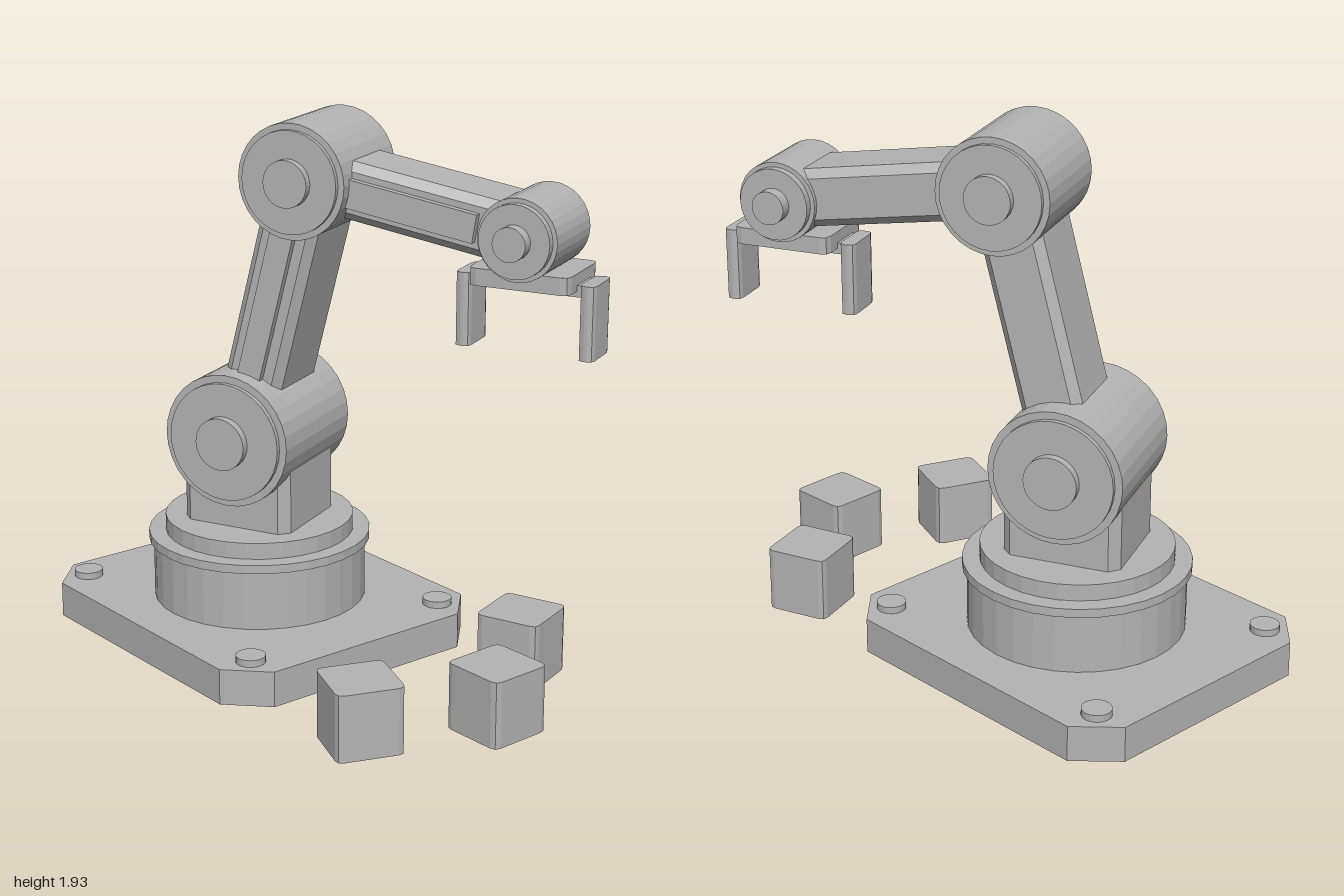
import * as THREE from 'three';

export function createModel() {
  const model = new THREE.Group();
  const grey = new THREE.MeshStandardMaterial({ color: 0xb4b4b4, flatShading: true });
  grey.name = 'plain grey';

  function add(parent, name, geometry, x = 0, y = 0, z = 0) {
    const mesh = new THREE.Mesh(geometry, grey);
    mesh.name = name;
    mesh.position.set(x, y, z);
    parent.add(mesh);
    return mesh;
  }

  // Upright prism standing on y = 0, with cut (steps 1) or rounded vertical edges
  function prism(w, h, d, r, steps = 1) {
    const a = w / 2, b = d / 2;
    const s = new THREE.Shape();
    s.moveTo(-a + r, -b);
    s.lineTo(a - r, -b);
    s.quadraticCurveTo(a, -b, a, -b + r);
    s.lineTo(a, b - r);
    s.quadraticCurveTo(a, b, a - r, b);
    s.lineTo(-a + r, b);
    s.quadraticCurveTo(-a, b, -a, b - r);
    s.lineTo(-a, -b + r);
    s.quadraticCurveTo(-a, -b, -a + r, -b);
    const g = new THREE.ExtrudeGeometry(s, { depth: h, bevelEnabled: false, curveSegments: steps });
    return g.rotateX(-Math.PI / 2);
  }

  const disc = (r, y0, y1, n = 32) =>
    new THREE.CylinderGeometry(r, r, y1 - y0, n).translate(0, (y0 + y1) / 2, 0);

  // Base plate with cut corners and four bolts
  const cx = -0.36, cz = 0.063;
  add(model, 'basePlate', prism(1.28, 0.13, 1.1, 0.134), cx, 0, cz);
  for (const sx of [-1, 1]) {
    for (const sz of [-1, 1]) {
      add(model, 'baseBolt', disc(0.053, 0.13, 0.155, 20), cx + sx * 0.516, 0, cz + sz * 0.424);
    }
  }

  // Turntable
  add(model, 'turntableBody', disc(0.39, 0.13, 0.35), cx, 0, cz);
  add(model, 'turntableRim', disc(0.407, 0.348, 0.38), cx, 0, cz);
  add(model, 'turntableTop', disc(0.345, 0.38, 0.44), cx, 0, cz);

  // Arm, turned on the turntable
  const arm = new THREE.Group();
  arm.name = 'arm';
  arm.position.set(cx, 0, cz);
  arm.rotation.y = THREE.MathUtils.degToRad(25);
  model.add(arm);
  add(arm, 'pedestal', prism(0.43, 0.36, 0.39, 0.035), 0, 0.44, 0);

  // Joint: sideways drum with a stepped cap and pin at both ends
  function joint(name, [x, y], r, half, pinR, capEnd, pinEnd) {
    const g = new THREE.Group();
    g.name = name;
    g.position.set(x, y, 0);
    const part = (label, radius, h) =>
      add(g, label, new THREE.CylinderGeometry(radius, radius, 2 * h, 32).rotateX(Math.PI / 2));
    part(name + 'Drum', r, half);
    part(name + 'Caps', r * 0.89, capEnd);
    part(name + 'Pins', pinR, pinEnd);
    arm.add(g);
  }

  const shoulder = [0, 0.78], elbow = [0.243, 1.731], wrist = [1.055, 1.602];
  joint('shoulder', shoulder, 0.243, 0.244, 0.096, 0.262, 0.292);
  joint('elbow', elbow, 0.203, 0.202, 0.083, 0.219, 0.248);
  joint('wrist', wrist, 0.1425, 0.152, 0.059, 0.18, 0.225);

  // Link between two joints, with a raised rail on its near side
  function link(name, a, b, w, d, railW, railL) {
    const g = new THREE.Group();
    const dx = b[0] - a[0], dy = b[1] - a[1], len = Math.hypot(dx, dy);
    g.name = name;
    g.position.set(a[0], a[1], 0);
    g.rotation.z = -Math.atan2(dx, dy);
    add(g, name + 'Beam', prism(w, len, d, 0.03));
    add(g, name + 'Rail', new THREE.BoxGeometry(railW, railL, 0.04), 0, len / 2, d / 2 + 0.006);
    arm.add(g);
  }
  link('upperArm', shoulder, elbow, 0.225, 0.31, 0.09, 0.64);
  link('forearm', elbow, wrist, 0.205, 0.27, 0.1, 0.52);

  // Gripper hanging below the wrist
  const gripper = new THREE.Group();
  gripper.name = 'gripper';
  gripper.position.x = wrist[0];
  arm.add(gripper);
  add(gripper, 'palm', prism(0.36, 0.06, 0.28, 0.03, 2), 0, 1.43, 0);
  add(gripper, 'fingerSlide', prism(0.44, 0.04, 0.12, 0.01), 0, 1.41, 0);
  for (const s of [-1, 1]) {
    add(gripper, 'finger', prism(0.055, 0.257, 0.165, 0.022, 2), s * 0.223, 1.198, 0);
  }

  // Loose blocks beside the base
  for (const [x, z, turn] of [[0.877, 0, 2], [0.685, 0.43, -20], [0.585, -0.38, 20]]) {
    const block = add(model, 'block', prism(0.237, 0.238, 0.237, 0.025, 2), x, 0, z);
    block.rotation.y = THREE.MathUtils.degToRad(turn);
  }
  return model;
}
